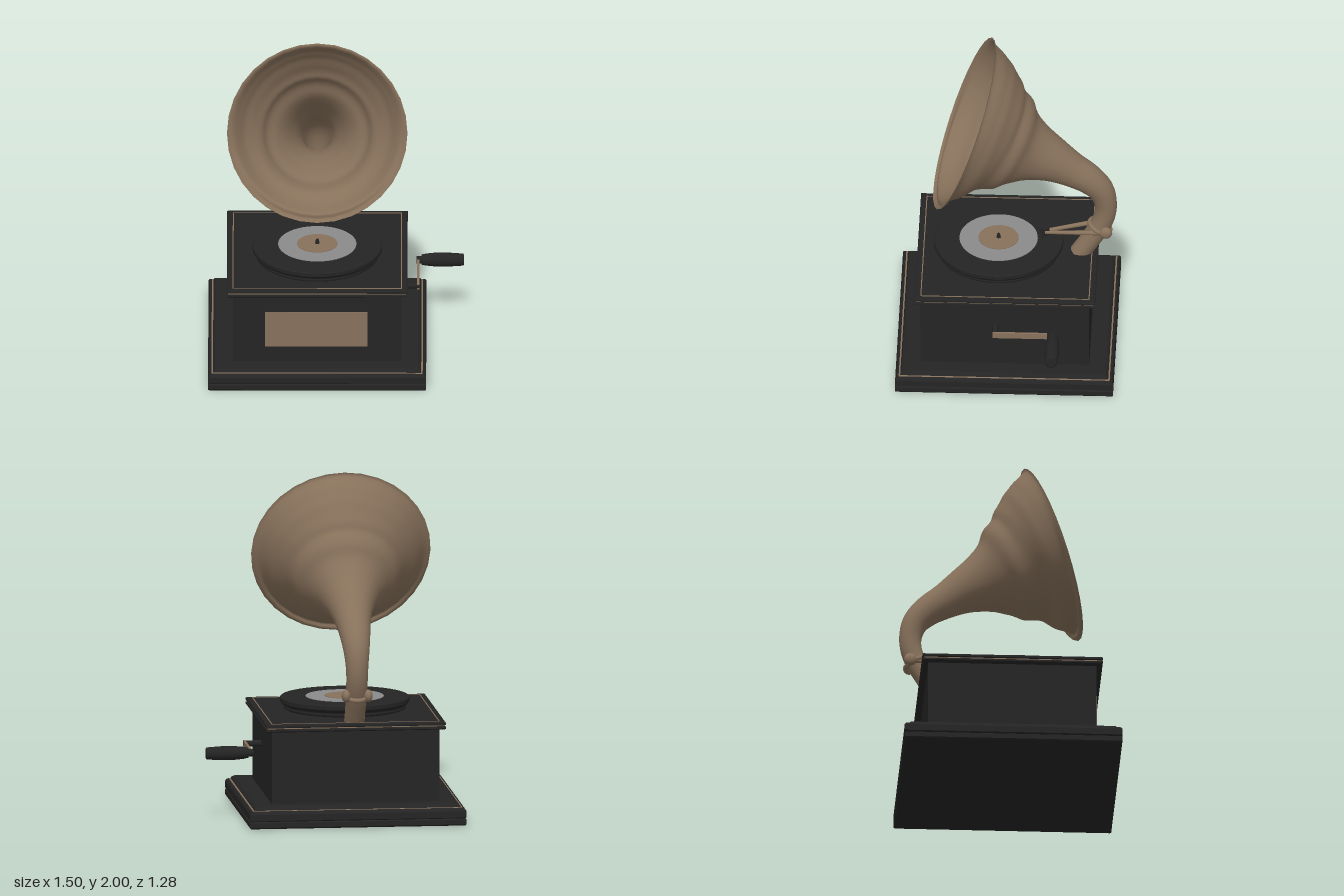
import * as THREE from 'three';

const CX = -0.11; // centre line of cabinet and horn
const V = (x, y, z) => new THREE.Vector3(x, y, z);

const mat = (name, color, side = THREE.FrontSide) => {
  const m = new THREE.MeshStandardMaterial({ color, side });
  m.name = name;
  return m;
};

export function createModel() {
  const group = new THREE.Group();
  const black = mat('black lacquer', 0x242424);
  const brass = mat('aged brass', 0x87715b, THREE.DoubleSide);
  const silver = mat('silver grey', 0x8a8a8a);

  const add = (name, geo, material, x = 0, y = 0, z = 0) => {
    const m = new THREE.Mesh(geo, material);
    m.name = name;
    m.position.set(x, y, z);
    group.add(m);
    return m;
  };
  const vec2 = (pts) => pts.map((p) => new THREE.Vector2(p[0], p[1]));

  // Square moulding from a profile of [half width, height]
  const moulding = (name, pts, material) => {
    const profile = vec2(pts.map(([h, y]) => [h * Math.SQRT2, y]));
    const geo = new THREE.LatheGeometry(profile, 4, Math.PI / 4).toNonIndexed();
    geo.computeVertexNormals();
    return add(name, geo, material, CX);
  };
  // Round turned part with crisp profile edges
  const turned = (name, pts, material, x, y, z, seg = 48) =>
    add(name, new THREE.LatheGeometry(vec2(pts), seg), material, x, y, z);
  // Tapered rod between two points
  const rod = (name, a, b, ra, rb, material, seg = 16) => {
    const d = b.clone().sub(a);
    const m = add(name, new THREE.CylinderGeometry(rb, ra, d.length(), seg), material);
    m.position.copy(a).add(b).multiplyScalar(0.5);
    m.quaternion.setFromUnitVectors(V(0, 1, 0), d.normalize());
    return m;
  };

  // Cabinet
  moulding('basePlinth', [[0, 0], [0.632, 0], [0.64, 0.008], [0.64, 0.036], [0.63, 0.042],
    [0.64, 0.048], [0.64, 0.085], [0.632, 0.098], [0.62, 0.104]], black);
  moulding('basePlinthInlay', [[0.62, 0.104], [0.611, 0.106]], brass);
  moulding('basePlinthTop', [[0.611, 0.106], [0.603, 0.118], [0.59, 0.125], [0.49, 0.125]], black);
  moulding('cabinetBody', [[0.495, 0.12], [0.495, 0.56]], black);
  moulding('lidLower', [[0.49, 0.555], [0.522, 0.555], [0.53, 0.561], [0.53, 0.571], [0.522, 0.575]], black);
  moulding('lidInlay', [[0.522, 0.575], [0.522, 0.58]], brass);
  moulding('lidUpper', [[0.522, 0.58], [0.53, 0.584], [0.53, 0.595], [0.524, 0.6], [0, 0.6]], black);
  moulding('lidTopInlay', [[0.497, 0.6], [0.497, 0.602], [0.491, 0.602], [0.491, 0.6]], brass);

  // Front panel with thin frame
  add('panelFrame', new THREE.BoxGeometry(0.62, 0.245, 0.012), black, -0.115, 0.338, 0.499);
  add('frontPanel', new THREE.BoxGeometry(0.6, 0.225, 0.006), brass, -0.115, 0.338, 0.504);

  // Turntable, record and spindle
  const TZ = 0.055;
  turned('turntable', [[0.35, 0.6], [0.36, 0.606], [0.36, 0.618], [0.35, 0.625], [0.37, 0.632],
    [0.38, 0.645], [0.38, 0.645], [0.38, 0.667], [0.38, 0.667], [0.374, 0.672], [0.374, 0.672], [0, 0.672]],
  black, CX, 0, TZ);
  add('recordBand', new THREE.CylinderGeometry(0.23, 0.23, 0.004, 48), silver, CX, 0.673, TZ);
  add('recordCentre', new THREE.CylinderGeometry(0.118, 0.118, 0.005, 48), brass, CX, 0.676, TZ);
  add('spindle', new THREE.CylinderGeometry(0.008, 0.014, 0.028, 12), black, CX, 0.69, TZ);

  // Horn: sections of [radius, y, z] from the mouth to the foot of the neck
  const sections = [
    [0.53, 1.5, 0.255], [0.492, 1.49, 0.228], [0.462, 1.473, 0.19], [0.43, 1.452, 0.145],
    [0.382, 1.43, 0.1], [0.328, 1.401, 0.046], [0.295, 1.37, -0.017], [0.238, 1.343, -0.071],
    [0.185, 1.309, -0.145], [0.138, 1.255, -0.255], [0.105, 1.185, -0.37], [0.09, 1.12, -0.47],
    [0.077, 1.04, -0.545], [0.066, 0.94, -0.574], [0.063, 0.85, -0.566], [0.062, 0.77, -0.535],
    [0.06, 0.69, -0.49], [0.06, 0.58, -0.42],
  ];
  const path = new THREE.CatmullRomCurve3(sections.map((s) => V(...s)));
  const RINGS = 68, SEG = 32;
  const pos = [], idx = [];
  for (let i = 0; i <= RINGS; i++) {
    const p = path.getPoint(i / RINGS);
    const t = path.getTangent(i / RINGS);
    const len = Math.hypot(t.y, t.z);
    for (let j = 0; j < SEG; j++) {
      const a = (j / SEG) * Math.PI * 2;
      const s = (p.x * Math.sin(a)) / len;
      pos.push(CX + p.x * Math.cos(a), p.y + s * t.z, p.z - s * t.y);
      if (i < RINGS) {
        const k = i * SEG + j, n = i * SEG + ((j + 1) % SEG);
        idx.push(k, n, k + SEG, n, n + SEG, k + SEG);
      }
    }
  }
  const hornGeo = new THREE.BufferGeometry();
  hornGeo.setAttribute('position', new THREE.Float32BufferAttribute(pos, 3));
  hornGeo.setIndex(idx);
  hornGeo.computeVertexNormals();
  add('horn', hornGeo, brass);

  // Tone arm: collar on the neck, side knobs and a fork to the sound box
  const collar = add('neckCollar', new THREE.TorusGeometry(0.066, 0.014, 10, 32), brass, CX, 0.775, -0.54);
  collar.rotation.x = Math.PI / 2 - 0.45;
  for (const s of [-1, 1]) {
    const x = CX + s * 0.065;
    const knob = add('collarKnob', new THREE.SphereGeometry(0.038, 16, 12), brass, x, 0.773, -0.577);
    knob.scale.x = 0.7;
    rod('toneArm', V(x, 0.773, -0.577), V(CX + s * 0.008, 0.727, -0.22), 0.016, 0.011, brass, 10);
  }
  rod('soundBox', V(CX - 0.012, 0.725, -0.22), V(CX + 0.012, 0.725, -0.22), 0.028, 0.028, black, 20);
  rod('needle', V(CX, 0.72, -0.215), V(CX, 0.673, -0.2), 0.005, 0.002, black, 8);

  // Crank on the side
  const CY = 0.4;
  rod('crankAxle', V(0.37, CY, 0.055), V(0.49, CY, 0.055), 0.018, 0.018, black);
  add('crankArm', new THREE.BoxGeometry(0.014, 0.036, 0.32), brass, 0.483, CY, -0.09);
  rod('crankPin', V(0.472, CY, -0.285), V(0.51, CY, -0.285), 0.022, 0.022, black);
  const handle = turned('crankHandle', [[0, 0], [0.03, 0], [0.03, 0], [0.036, 0.03], [0.042, 0.09],
    [0.042, 0.15], [0.036, 0.245], [0.03, 0.25], [0.03, 0.25], [0, 0.25]], black, 0.5, CY, -0.285, 20);
  handle.rotation.z = -Math.PI / 2;

  return group;
}
